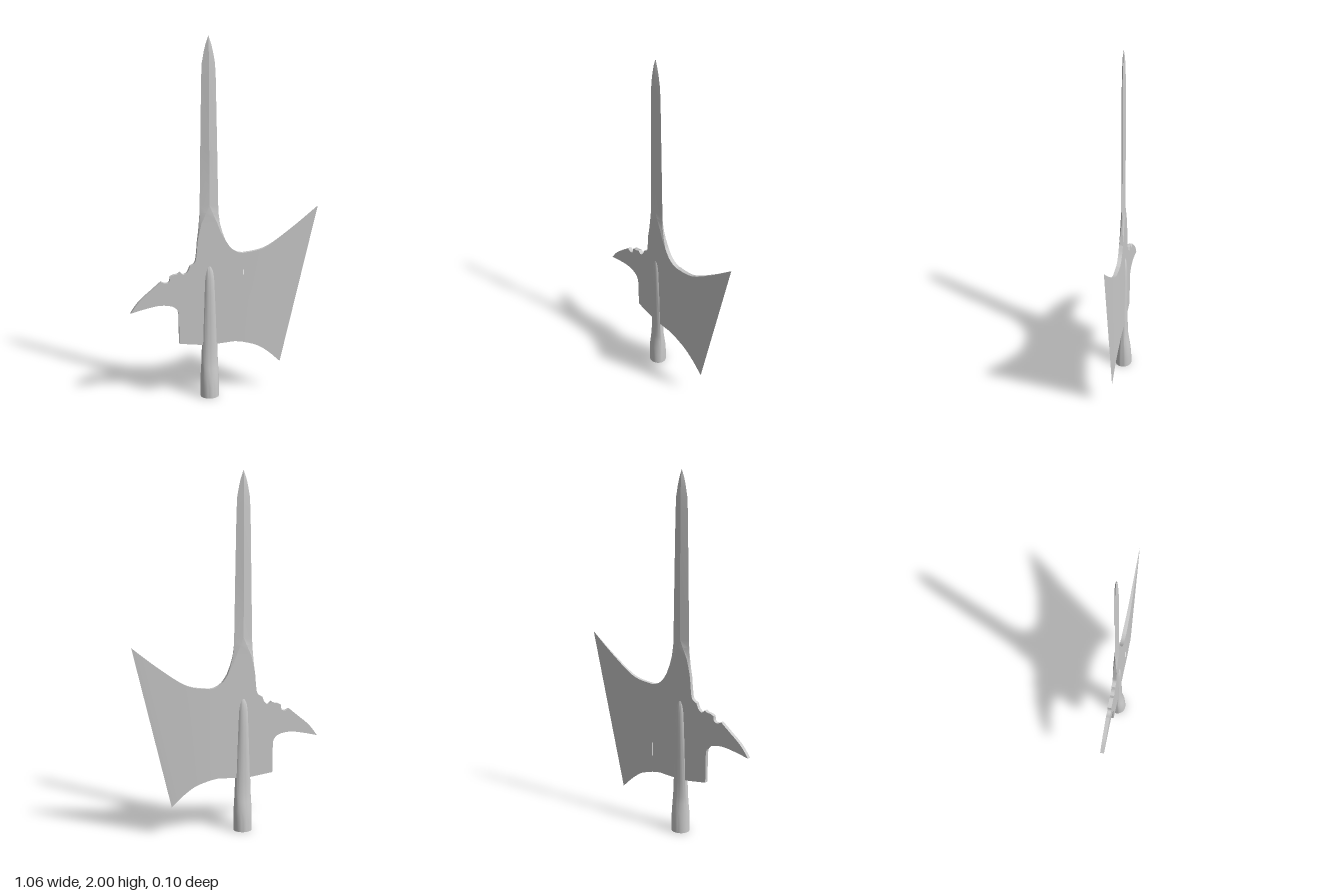
import * as THREE from 'three';
import { toCreasedNormals } from 'three/addons/utils/BufferGeometryUtils.js';

const CX = -0.09; // axis of the socket and spike
const H = 0.011;  // half thickness of the plate

// Skin a row of equal-length rings of [x, y, z] points.
function loft(rings, crease) {
  const n = rings[0].length;
  const index = [];
  for (let k = 0; k < rings.length - 1; k++) {
    for (let i = 0; i < n; i++) {
      const j = (i + 1) % n;
      const a = k * n + i, b = k * n + j, c = a + n, d = b + n;
      index.push(a, d, b, a, c, d);
    }
  }
  const geo = new THREE.BufferGeometry();
  geo.setAttribute('position', new THREE.Float32BufferAttribute(rings.flat(2), 3));
  geo.setIndex(index);
  return toCreasedNormals(geo, crease);
}

const spline = (points) => new THREE.SplineCurve(points.map(([x, y]) => new THREE.Vector2(x, y)));

// Flat middle of the head with the notched hook on one side
function plateGeometry() {
  const v = (list) => list.map(([x, y]) => new THREE.Vector2(x, y));
  const s = new THREE.Shape();
  s.moveTo(-0.262, 0.325);
  s.lineTo(-0.11, 0.305);
  s.splineThru(v([[0, 0.312], [0.05, 0.315], [0.1, 0.308]]));
  s.lineTo(0.1, 0.825);
  s.splineThru(v([[0.065, 0.833], [0.03, 0.857], [0, 0.9]]));
  s.lineTo(-0.157, 0.9);
  s.splineThru(v([[-0.163, 0.83], [-0.172, 0.785], [-0.2, 0.765]]));
  s.splineThru(v([[-0.213, 0.735], [-0.235, 0.72], [-0.255, 0.735]]));
  s.splineThru(v([[-0.27, 0.725], [-0.29, 0.722], [-0.31, 0.713]]));
  s.splineThru(v([[-0.315, 0.685], [-0.335, 0.677], [-0.36, 0.687]]));
  s.splineThru(v([[-0.41, 0.645], [-0.48, 0.585], [-0.53, 0.52]]));
  s.splineThru(v([[-0.45, 0.54], [-0.37, 0.553], [-0.305, 0.545], [-0.272, 0.52], [-0.264, 0.49]]));
  const geo = new THREE.ExtrudeGeometry(s, { depth: 2 * H, bevelEnabled: false, curveSegments: 6 });
  geo.translate(0, 0, -H);
  return toCreasedNormals(geo, 0.5);
}

// Axe blade, thinning towards its slanted cutting edge
function bladeGeometry() {
  const low = spline([[0.1, 0.308], [0.18, 0.282], [0.25, 0.235], [0.32, 0.17]]);
  const high = spline([[0.1, 0.825], [0.23, 0.85], [0.38, 0.95], [0.53, 1.07]]);
  const rings = [];
  const steps = 16;
  for (let i = 0; i <= steps; i++) {
    const t = i / steps;
    const a = low.getPoint(t), b = high.getPoint(t);
    const h = H * (1 - Math.pow(t, 1.4)) + 0.0005;
    rings.push([[a.x, a.y, h], [b.x, b.y, h], [b.x, b.y, -h], [a.x, a.y, -h]]);
  }
  return loft(rings, 0.5);
}

// Spike: flat-sided neck turning into a long diamond section
function spikeGeometry() {
  // y, left edge, right edge, left and right of the flat, edge half thickness, ridge half thickness
  const rows = [
    [0.9, -0.157, 0, -0.157, 0, H, H],
    [0.95, -0.151, -0.018, -0.147, -0.028, 0.007, H],
    [1.0, -0.147, -0.031, -0.135, -0.047, 0.004, H],
    [1.06, -0.143, -0.038, -0.108, -0.073, 0.001, H],
    [1.1, -0.142, -0.039, CX, CX, 0, H],
    [1.4, -0.137, -0.044, CX, CX, 0, H],
    [1.78, -0.13, -0.051, CX, CX, 0, H],
    [1.86, -0.126, -0.055, CX, CX, 0, 0.01],
    [1.92, -0.115, -0.066, CX, CX, 0, 0.008],
    [1.96, -0.105, -0.076, CX, CX, 0, 0.006],
    [2, CX, CX, CX, CX, 0, 0],
  ];
  return loft(rows.map(([y, l, r, fl, fr, e, h]) => [
    [r, y, -e], [r, y, e], [fr, y, h], [fl, y, h],
    [l, y, e], [l, y, -e], [fl, y, -h], [fr, y, -h],
  ]), 0.3);
}

// Hollow socket, round at the foot and flattening into the plate
function socketGeometry() {
  // y, half width, half depth
  const rows = [
    [0, 0.052, 0.049], [0.06, 0.052, 0.048], [0.12, 0.052, 0.043], [0.17, 0.049, 0.035],
    [0.21, 0.047, 0.029], [0.3, 0.044, 0.025], [0.45, 0.039, 0.024], [0.6, 0.033, 0.024],
    [0.69, 0.029, 0.022], [0.73, 0.024, 0.018], [0.755, 0.015, 0.013], [0.765, 0, 0.009],
  ];
  const sides = 32;
  return loft(rows.map(([y, rx, rz]) => Array.from({ length: sides }, (_, i) => {
    const a = (i / sides) * Math.PI * 2;
    return [CX + rx * Math.cos(a), y, rz * Math.sin(a)];
  })), 1);
}

export function createModel() {
  const group = new THREE.Group();
  group.name = 'halberdHead';
  const material = new THREE.MeshStandardMaterial({ color: 0xcccccc });
  const openMaterial = new THREE.MeshStandardMaterial({ color: 0xcccccc, side: THREE.DoubleSide });
  const add = (name, geometry, mat = material) => {
    const mesh = new THREE.Mesh(geometry, mat);
    mesh.name = name;
    group.add(mesh);
  };
  add('hookPlate', plateGeometry());
  add('axeBlade', bladeGeometry());
  add('spike', spikeGeometry());
  add('socket', socketGeometry(), openMaterial);
  return group;
}
